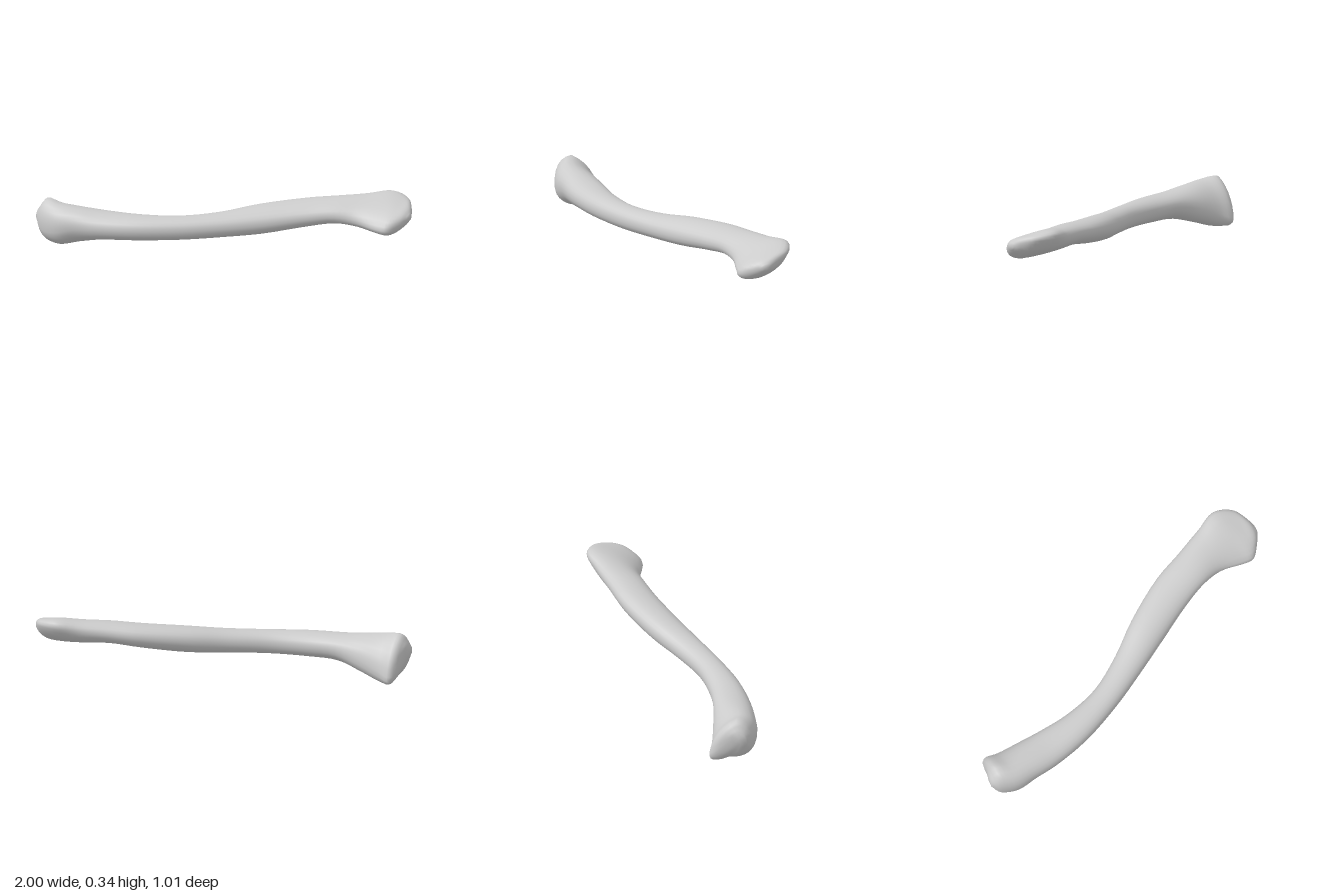
import * as THREE from 'three';

// Plan outline per station: front edge x, z and back edge x, z
const plan = [
  [-0.997, 0.43, -0.99, 0.35], [-0.95, 0.465, -0.955, 0.225], [-0.85, 0.49, -0.88, 0.235],
  [-0.74, 0.478, -0.75, 0.24], [-0.6, 0.455, -0.6, 0.237], [-0.38, 0.388, -0.43, 0.21],
  [-0.14, 0.27, -0.23, 0.142], [0.06, 0.15, -0.04, 0.01], [0.25, 0.03, 0.13, -0.14],
  [0.46, -0.1, 0.36, -0.3], [0.6, -0.17, 0.53, -0.38], [0.72, -0.207, 0.68, -0.45],
  [0.85, -0.205, 0.81, -0.497], [0.92, -0.207, 0.92, -0.47], [0.97, -0.265, 0.975, -0.405],
  [0.998, -0.32, 0.998, -0.36],
];
// Heights per station: front edge, back edge, crest, underside
const heights = [
  [0.16, 0.17, 0.205, 0.135], [0.1, 0.05, 0.263, 0.03], [0.1, 0.07, 0.252, 0.003],
  [0.13, 0.12, 0.237, 0.03], [0.145, 0.15, 0.222, 0.066], [0.15, 0.15, 0.22, 0.078],
  [0.155, 0.155, 0.221, 0.088], [0.165, 0.17, 0.236, 0.1], [0.18, 0.2, 0.265, 0.115],
  [0.21, 0.235, 0.29, 0.153], [0.225, 0.255, 0.305, 0.178], [0.22, 0.26, 0.315, 0.171],
  [0.21, 0.265, 0.328, 0.16], [0.21, 0.265, 0.302, 0.155], [0.225, 0.255, 0.28, 0.19],
  [0.238, 0.242, 0.255, 0.225],
];
// How far the crest and underside sit from front (0) to back (1)
const lean = {
  1: [0.38, 0.55], 2: [0.4, 0.55], 3: [0.45, 0.58],
  11: [0.6, 0.45], 12: [0.75, 0.4], 13: [0.7, 0.4], 14: [0.6, 0.45],
};

// Four lengthwise rails: front, crest, back, underside
function makeRails() {
  const rails = [[], [], [], []];
  plan.forEach(([fx, fz, bx, bz], i) => {
    const [fy, by, ty, uy] = heights[i];
    const [t, u] = lean[i] || [0.5, 0.5];
    const between = (k, y) => new THREE.Vector3(fx + (bx - fx) * k, y, fz + (bz - fz) * k);
    rails[0].push(between(0, fy));
    rails[1].push(between(t, ty));
    rails[2].push(between(1, by));
    rails[3].push(between(u, uy));
  });
  return rails.map((points) => new THREE.CatmullRomCurve3(points));
}

// Skin of rounded sections, each joining the rails by quarter ellipses
function boneGeometry(rings, quarter) {
  const rails = makeRails();
  const sides = quarter * 4;
  const positions = [];
  const index = [];
  const ends = [];
  for (let r = 0; r <= rings; r++) {
    const p = rails.map((rail) => rail.getPoint(r / rings));
    const centre = p.reduce((sum, v) => sum.add(v), new THREE.Vector3()).multiplyScalar(0.25);
    if (r === 0 || r === rings) ends.push(centre);
    for (let s = 0; s < sides; s++) {
      const q = Math.floor(s / quarter);
      const a = ((s % quarter) / quarter) * Math.PI / 2;
      const v = centre.clone()
        .addScaledVector(p[q].clone().sub(centre), Math.cos(a) ** 0.92)
        .addScaledVector(p[(q + 1) % 4].clone().sub(centre), Math.sin(a) ** 0.92);
      positions.push(v.x, v.y, v.z);
    }
  }
  for (let r = 0; r < rings; r++) {
    for (let s = 0; s < sides; s++) {
      const a = r * sides + s;
      const b = r * sides + (s + 1) % sides;
      index.push(a, a + sides, b, b, a + sides, b + sides);
    }
  }
  // Close both ends with a fan
  const first = positions.length / 3;
  ends.forEach((c) => positions.push(c.x, c.y, c.z));
  ends[0].x = positions[first * 3] = -1;
  positions[first * 3 + 3] = 1;
  for (let s = 0; s < sides; s++) {
    const next = (s + 1) % sides;
    index.push(first, s, next);
    index.push(first + 1, rings * sides + next, rings * sides + s);
  }
  const geometry = new THREE.BufferGeometry();
  geometry.setAttribute('position', new THREE.Float32BufferAttribute(positions, 3));
  geometry.setIndex(index);
  geometry.computeVertexNormals();
  return geometry;
}

export function createModel() {
  const group = new THREE.Group();
  group.name = 'collarbone';
  const material = new THREE.MeshStandardMaterial({ color: 0xcccccc });
  const bone = new THREE.Mesh(boneGeometry(60, 6), material);
  bone.name = 'boneShaft';
  group.add(bone);
  return group;
}
